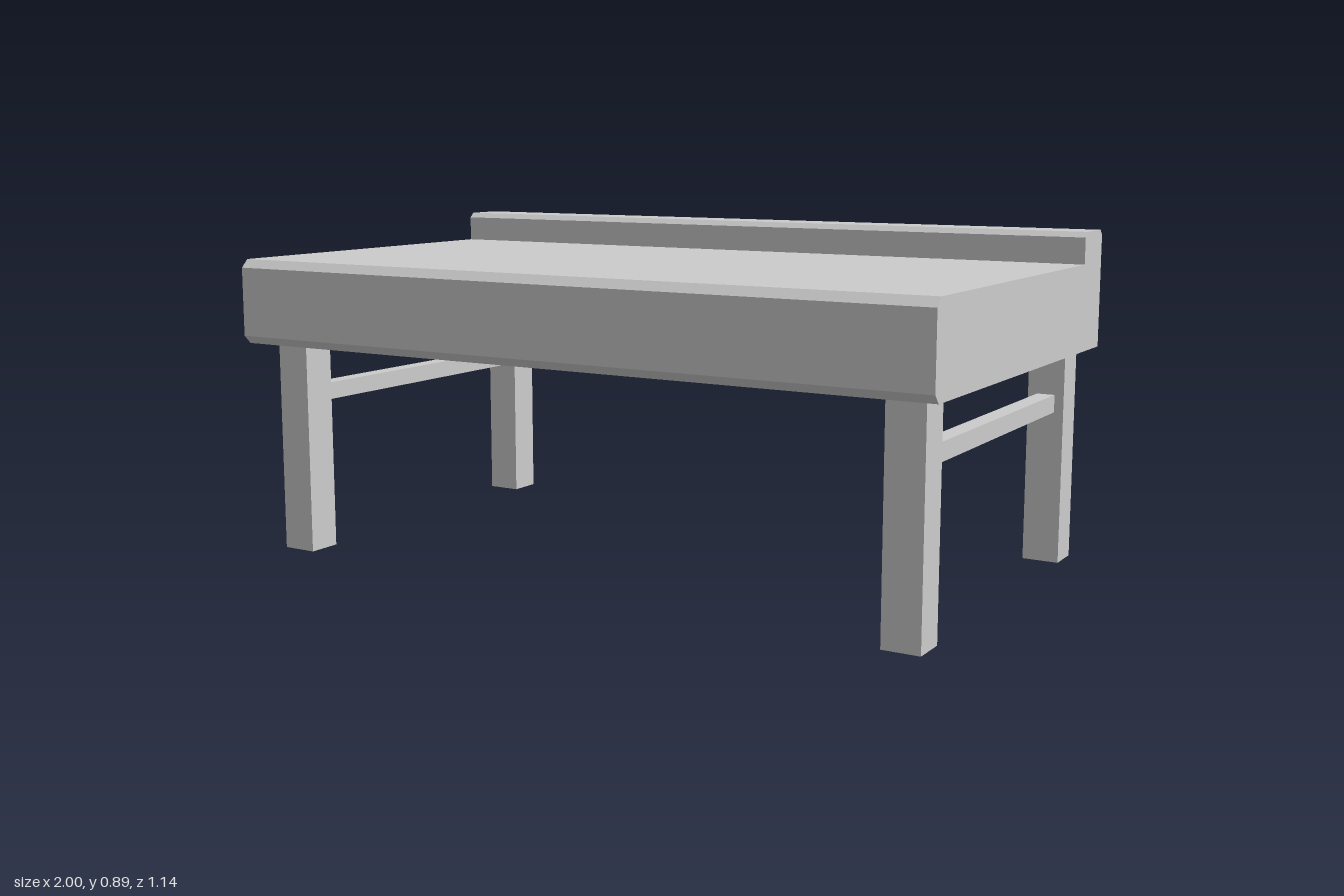
import * as THREE from 'three';

export function createModel() {
  const group = new THREE.Group();
  group.name = 'bench';
  const material = new THREE.MeshStandardMaterial({ color: 0xcccccc, flatShading: true });

  const addBox = (name, x0, x1, y0, y1, z0, z1) => {
    const mesh = new THREE.Mesh(new THREE.BoxGeometry(x1 - x0, y1 - y0, z1 - z0), material);
    mesh.position.set((x0 + x1) / 2, (y0 + y1) / 2, (z0 + z1) / 2);
    mesh.name = name;
    group.add(mesh);
  };

  // Thick top with chamfered front edges and a raised back ledge:
  // side profile (-z, y), extruded across the width
  const profile = [
    [-0.572, 0.6], [-0.551, 0.578], [0.571, 0.578], [0.571, 0.877], [0.556, 0.891],
    [0.444, 0.891], [0.429, 0.877], [0.429, 0.807], [-0.551, 0.807], [-0.572, 0.785],
  ].map(([x, y]) => new THREE.Vector2(x, y));
  const topGeometry = new THREE.ExtrudeGeometry(new THREE.Shape(profile), { depth: 2, bevelEnabled: false });
  topGeometry.translate(0, 0, -1).rotateY(Math.PI / 2);
  const top = new THREE.Mesh(topGeometry, material);
  top.name = 'top';
  group.add(top);

  // Legs and the side rail joining each front and back pair
  for (const [side, s] of [['left', 1], ['right', -1]]) {
    const x = s * 0.901;
    addBox(side + 'FrontLeg', x - 0.049, x + 0.049, 0, 0.578, 0.399, 0.493);
    addBox(side + 'BackLeg', x - 0.049, x + 0.049, 0, 0.578, -0.548, -0.453);
    addBox(side + 'Rail', x - 0.024, x + 0.024, 0.409, 0.456, -0.453, 0.399);
  }
  return group;
}
